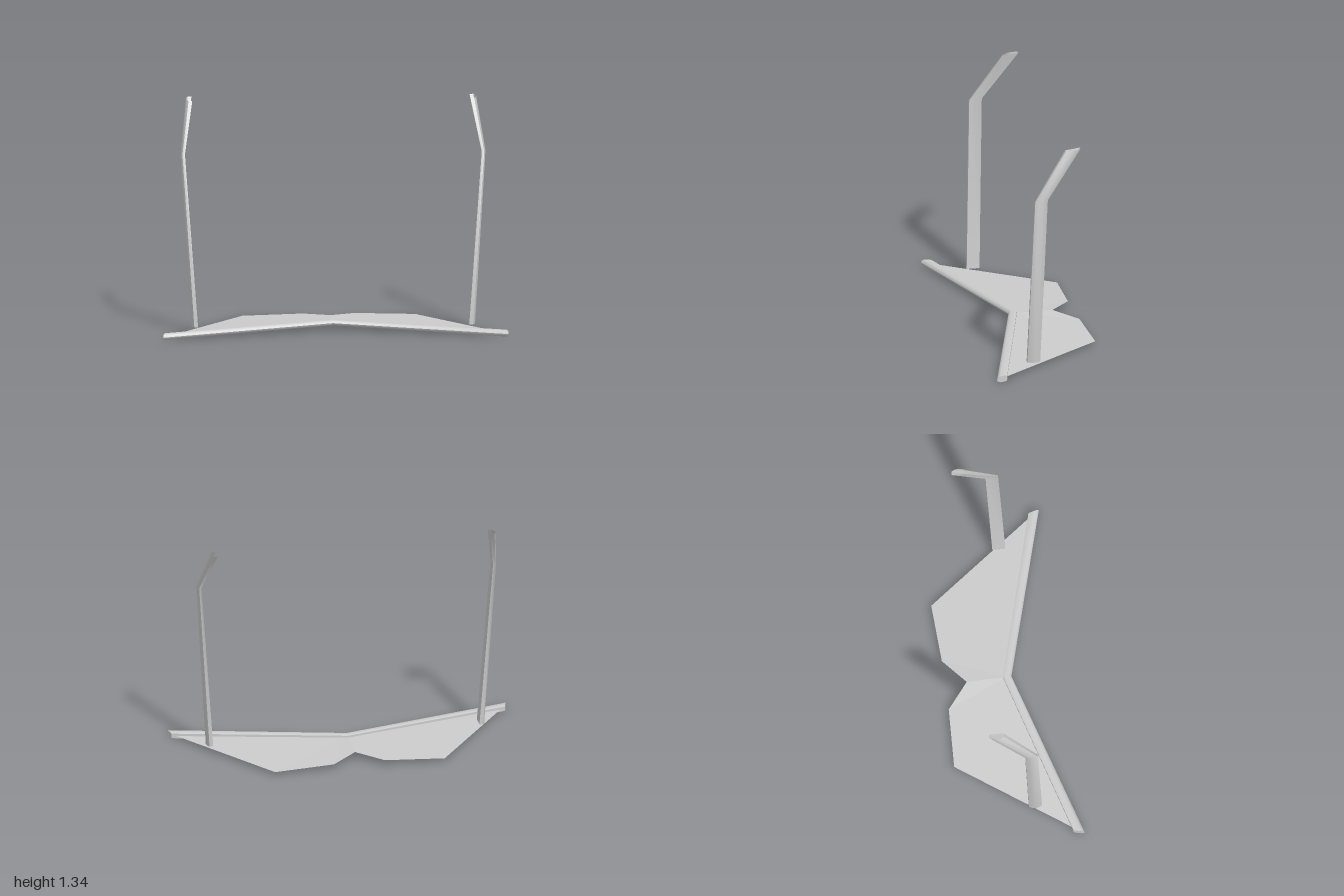
import * as THREE from 'three';
import { toCreasedNormals } from 'three/addons/utils/BufferGeometryUtils.js';

const material = new THREE.MeshStandardMaterial({ color: 0xcccccc, side: THREE.DoubleSide });

// Surface through rings of Vector3 that all have the same point count
function loft(rings, capped) {
  const n = rings[0].length;
  const points = rings.flat();
  const index = [];
  for (let r = 0; r < rings.length - 1; r++) {
    for (let i = 0; i < n; i++) {
      const a = r * n + i, b = r * n + (i + 1) % n;
      index.push(a, b, b + n, a, b + n, a + n);
    }
  }
  if (capped) {
    const last = (rings.length - 1) * n;
    for (let i = 1; i < n - 1; i++) {
      index.push(0, i + 1, i, last, last + i, last + i + 1);
    }
  }
  const geometry = new THREE.BufferGeometry().setFromPoints(points);
  geometry.setIndex(index);
  return toCreasedNormals(geometry, 0.75);
}

function addMesh(parent, name, geometry) {
  const mesh = new THREE.Mesh(geometry, material);
  mesh.name = name;
  parent.add(mesh);
  return mesh;
}

// Brow bar: rounded front, flatter back, swept from end to end with a bend in the middle
function browBar() {
  const section = [[-0.5, 0.4], [-0.3, 0.5], [0.2, 0.5], [0.42, 0.3], [0.5, 0],
    [0.42, -0.3], [0.2, -0.5], [-0.3, -0.5], [-0.5, -0.4]];
  const stations = [
    { x: -0.992, y: 0.021, z: 0.313, depth: 0.063, height: 0.036, skew: -0.016 },
    { x: 0, y: 0.044, z: 0.026, depth: 0.05, height: 0.031, skew: 0 },
    { x: 0.992, y: 0.021, z: 0.313, depth: 0.063, height: 0.036, skew: 0.016 },
  ];
  const rings = stations.map(s => section.map(([v, h]) =>
    new THREE.Vector3(s.x + v * s.skew, s.y + h * s.height, s.z + v * s.depth)));
  return loft(rings, true);
}

// Thin lens sheet: one half on each side of the centre ridge, with a nose notch
function lensSheet() {
  const half = [[0, 0.045, 0.025], [0.97, 0.021, 0.295], [0.5, 0.022, -0.35],
    [0.15, 0.034, -0.335], [0, 0.045, -0.21]];
  const points = [];
  for (const side of [1, -1]) {
    for (let i = 1; i < half.length - 1; i++) {
      const triangle = side > 0 ? [0, i, i + 1] : [0, i + 1, i];
      for (const k of triangle) {
        const [x, y, z] = half[k];
        points.push(new THREE.Vector3(x * side, y, z));
      }
    }
  }
  const geometry = new THREE.BufferGeometry().setFromPoints(points);
  geometry.computeVertexNormals();
  return geometry;
}

// Temple arm: hollow, flat inside and bowed outside, bent near the tip
function templeArm(side) {
  const section = [[-1, -1], [0.2, -1], [0.75, -0.55], [1, 0], [0.75, 0.55], [0.2, 1], [-1, 1]];
  const stations = [
    { x: 0.803, y: 0.04, z: 0.083, w: 0.018, d: 0.038, tilt: 0 },
    { x: 0.871, y: 1.052, z: 0.052, w: 0.012, d: 0.037, tilt: -0.003 },
    { x: 0.823, y: 1.334, z: -0.146, w: 0.018, d: 0.043, tilt: -0.005 },
  ];
  const rings = stations.map(s => section.map(([u, v]) =>
    new THREE.Vector3(side * (s.x + u * s.w), s.y + v * s.tilt, s.z + v * s.d)));
  if (side < 0) rings.forEach(ring => ring.reverse());
  return loft(rings, false);
}

export function createModel() {
  const group = new THREE.Group();
  group.name = 'glasses';
  addMesh(group, 'browBar', browBar());
  addMesh(group, 'lensSheet', lensSheet());
  addMesh(group, 'leftArm', templeArm(1));
  addMesh(group, 'rightArm', templeArm(-1));
  return group;
}
